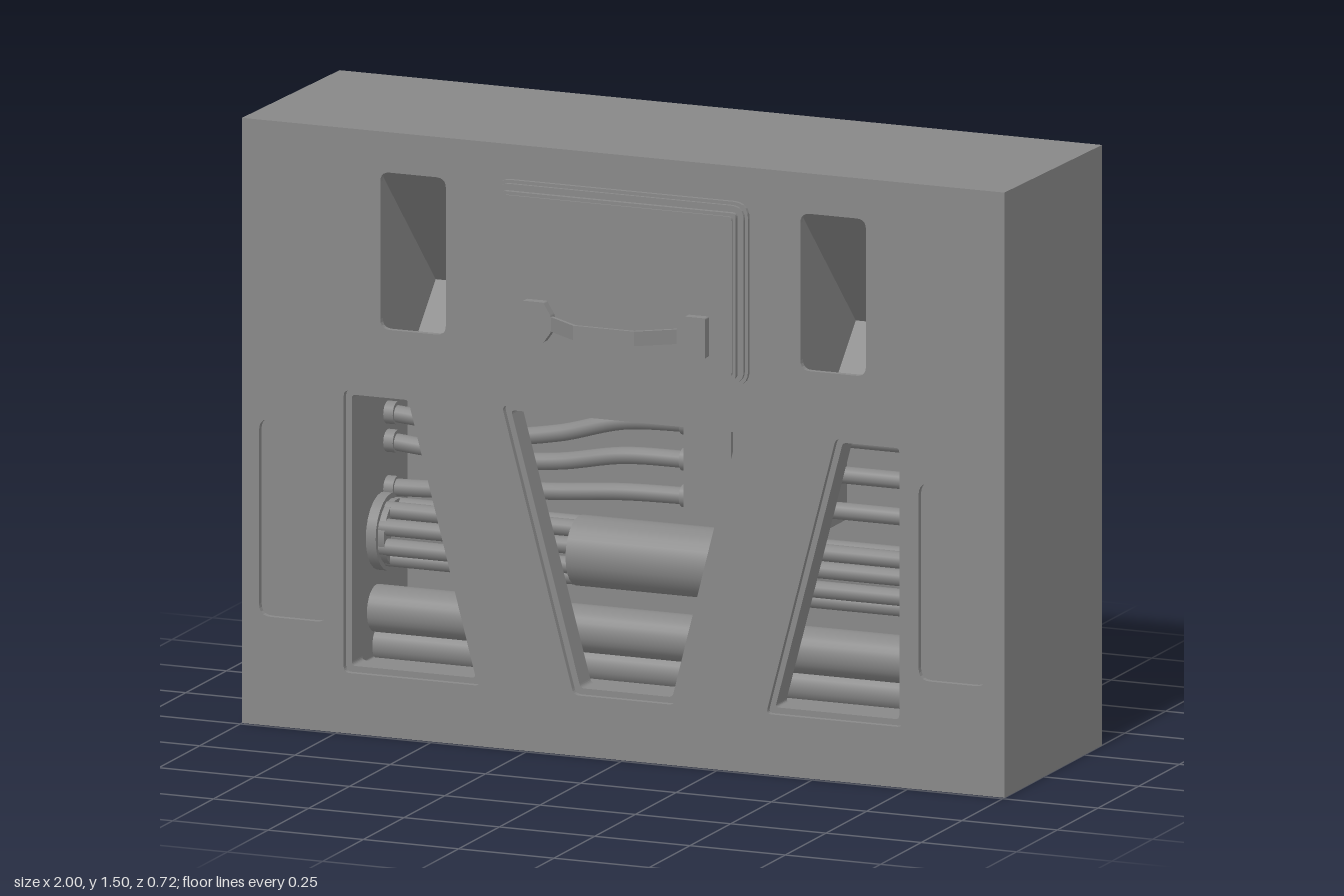
import * as THREE from 'three';

const mat = new THREE.MeshStandardMaterial({ color: 0x888888 });
const FRONT = 0.24, BACK = -0.36, LIP = 0.225, PANEL_BACK = 0.16, CAVITY_BACK = -0.12;

// Closed path with rounded corners
function roundedPath(points, r, PathClass = THREE.Path) {
  const path = new PathClass();
  const v = points.map(([x, y]) => new THREE.Vector2(x, y));
  v.forEach((p, i) => {
    const prev = v[(i + v.length - 1) % v.length], next = v[(i + 1) % v.length];
    const a = p.clone().add(prev.clone().sub(p).setLength(r));
    const b = p.clone().add(next.clone().sub(p).setLength(r));
    if (i === 0) path.moveTo(a.x, a.y); else path.lineTo(a.x, a.y);
    path.quadraticCurveTo(p.x, p.y, b.x, b.y);
  });
  path.closePath();
  return path;
}
const rect = (x0, y0, x1, y1) => [[x0, y0], [x1, y0], [x1, y1], [x0, y1]];
const mirrorX = (pts) => pts.map(([x, y]) => [-x, y]).reverse();

export function createModel() {
  const group = new THREE.Group();
  const add = (name, geometry, x = 0, y = 0, z = 0) => {
    const mesh = new THREE.Mesh(geometry, mat);
    mesh.name = name;
    mesh.position.set(x, y, z);
    group.add(mesh);
  };
  const extrude = (shape, depth) =>
    new THREE.ExtrudeGeometry(shape, { depth, bevelEnabled: false, curveSegments: 5 });
  const box = (name, x0, x1, y0, y1, z0, z1) =>
    add(name, new THREE.BoxGeometry(x1 - x0, y1 - y0, z1 - z0), (x0 + x1) / 2, (y0 + y1) / 2, (z0 + z1) / 2);
  // Horizontal cylinder along x
  const rod = (name, x0, x1, y, z, r, sides = 20) =>
    add(name, new THREE.CylinderGeometry(r, r, x1 - x0, sides).rotateZ(Math.PI / 2), (x0 + x1) / 2, y, z);

  // Body layers: the top falls slightly towards the back
  const layer = (name, holes, z0, z1) => {
    const shape = new THREE.Shape(rect(-1, 0, 1, 1.5).map(([x, y]) => new THREE.Vector2(x, y)));
    shape.holes = holes;
    const g = extrude(shape, z1 - z0).translate(0, 0, z0);
    const p = g.attributes.position;
    for (let i = 0; i < p.count; i++)
      if (p.getY(i) > 1.45) p.setY(i, 1.5 - 0.012 * (FRONT - p.getZ(i)) / (FRONT - BACK));
    g.computeVertexNormals();
    add(name, g);
  };

  const sideOuter = [[0.375, 0.15], [0.733, 0.15], [0.733, 0.85], [0.558, 0.85]];
  const sideInner = [[0.393, 0.165], [0.718, 0.165], [0.718, 0.837], [0.57, 0.837]];
  const midOuter = [[-0.13, 0.15], [0.135, 0.15], [0.312, 0.85], [-0.318, 0.85]];
  const midInner = [[-0.118, 0.165], [0.123, 0.165], [0.294, 0.837], [-0.3, 0.837]];
  const slot = rect(0.465, 1.01, 0.637, 1.4);
  const deepSlot = rect(0.465, 0.86, 0.637, 1.4);
  const recess = rect(0.775, 0.27, 0.955, 0.76);
  const pair = (pts, r) => [roundedPath(pts, r), roundedPath(mirrorX(pts), r)];

  layer('frontFace', [...pair(sideOuter, 0.015), roundedPath(midOuter, 0.015),
    ...pair(slot, 0.025), ...pair(recess, 0.03)], LIP, FRONT);
  layer('frontPanel', [...pair(sideInner, 0.01), roundedPath(midInner, 0.01),
    ...pair(deepSlot, 0.005)], PANEL_BACK, LIP);
  layer('bodyShell', [roundedPath(rect(-0.72, 0.155, 0.72, 0.847), 0.005),
    ...pair(deepSlot, 0.005)], CAVITY_BACK, PANEL_BACK);
  layer('bodyBack', [], BACK, CAVITY_BACK);

  // Vents: pockets sloping down into the body at 45 degrees
  const pocket = new THREE.Shape([[0.238, 1.4], [-0.1, 1.06], [0.095, 0.866], [0.236, 1.008],
    [0.236, 0.858], [-0.12, 0.858], [-0.12, 1.4]].map(([z, y]) => new THREE.Vector2(-z, y)));
  for (const s of [-1, 1])
    add('ventPocket', extrude(pocket, 0.172).rotateY(Math.PI / 2), s * 0.551 - 0.086);

  // Hatch: stepped base and raised panel
  const plate = (name, x, y0, y1, r, z0, z1) =>
    add(name, extrude(roundedPath(rect(-x, y0, x, y1), r, THREE.Shape), z1 - z0), 0, 0, z0);
  plate('hatchBase', 0.332, 0.958, 1.414, 0.04, FRONT, 0.25);
  plate('hatchRim', 0.324, 0.966, 1.406, 0.034, 0.25, 0.258);
  plate('hatchPanel', 0.308, 0.978, 1.39, 0.012, 0.258, 0.27);
  plate('hatchPanelFace', 0.3, 0.986, 1.382, 0.01, 0.27, 0.275);

  // Handle: tapered mounts and a bent strip
  const mount = [[0.185, 1.03], [0.24, 1.03], [0.24, 1.13], [0.185, 1.13], [0.165, 1.098], [0.165, 1.058]];
  for (const pts of [mount, mirrorX(mount)])
    add('handleMount', extrude(roundedPath(pts, 0.004, THREE.Shape), 0.023), 0, 0, 0.275);
  const strip = [[-0.2, 0.298], [-0.165, 0.298], [-0.08, 0.36], [0.08, 0.36], [0.165, 0.298], [0.2, 0.298],
    [0.2, 0.289], [0.162, 0.289], [0.077, 0.351], [-0.077, 0.351], [-0.162, 0.289], [-0.2, 0.289]];
  add('handleGrip', extrude(new THREE.Shape(strip.map(([x, z]) => new THREE.Vector2(x, z))), 0.036)
    .rotateX(Math.PI / 2), 0, 1.096);

  // Lower pipes
  rod('lowerPipe', -0.72, 0.72, 0.275, 0.07, 0.058, 28);
  rod('floorPipe', -0.72, 0.72, 0.185, 0.05, 0.045, 24);

  // Bundle of rods with end flanges and a central sleeve
  const cy = 0.46, cz = 0.04;
  for (let i = 0; i < 8; i++) {
    const a = (i + 0.5) * Math.PI / 4;
    rod('bundleRod', -0.7, 0.7, cy + 0.064 * Math.sin(a), cz + 0.064 * Math.cos(a), 0.021, 14);
  }
  rod('bundleCore', -0.7, 0.7, cy, cz, 0.04);
  for (const s of [-1, 1]) {
    rod('bundleFlange', s * 0.707 - 0.013, s * 0.707 + 0.013, cy, cz, 0.095, 24);
    rod('bundleCollar', s * 0.69 - 0.012, s * 0.69 + 0.012, cy, cz, 0.082, 24);
  }
  rod('bundleSleeve', -0.2, 0.17, cy, cz, 0.086, 24);

  // Junction box with hoses on its right and straight pipes on its left
  const hz = 0;
  box('junctionBox', 0.075, 0.2, 0.57, 0.845, -0.08, 0.045);
  box('junctionBoxEnd', 0.2, 0.45, 0.57, 0.845, -0.08, 0.035);
  box('pipePlate', 0.685, 0.72, 0.58, 0.83, -0.08, 0.06);
  const hoseHeights = [
    [0.745, 0.735, 0.715, 0.735, 0.78, 0.79],
    [0.675, 0.665, 0.655, 0.665, 0.695, 0.7],
    [0.56, 0.565, 0.58, 0.59, 0.605, 0.61]];
  const hoseX = [-0.72, -0.6, -0.42, -0.27, -0.1, 0.08];
  for (const heights of hoseHeights) {
    const curve = new THREE.CatmullRomCurve3(
      heights.map((y, i) => new THREE.Vector3(hoseX[i], y, hz)));
    add('hose', new THREE.TubeGeometry(curve, 40, 0.021, 14));
    const y = heights[5];
    rod('hoseEndCollar', -0.72, -0.695, heights[0], hz, 0.028);
    rod('hoseCollar', 0.055, 0.08, y, hz, 0.028);
    rod('pipe', 0.44, 0.7, y, hz, 0.021);
    rod('pipeCollar', 0.668, 0.69, y, hz, 0.03);
  }

  return group;
}
